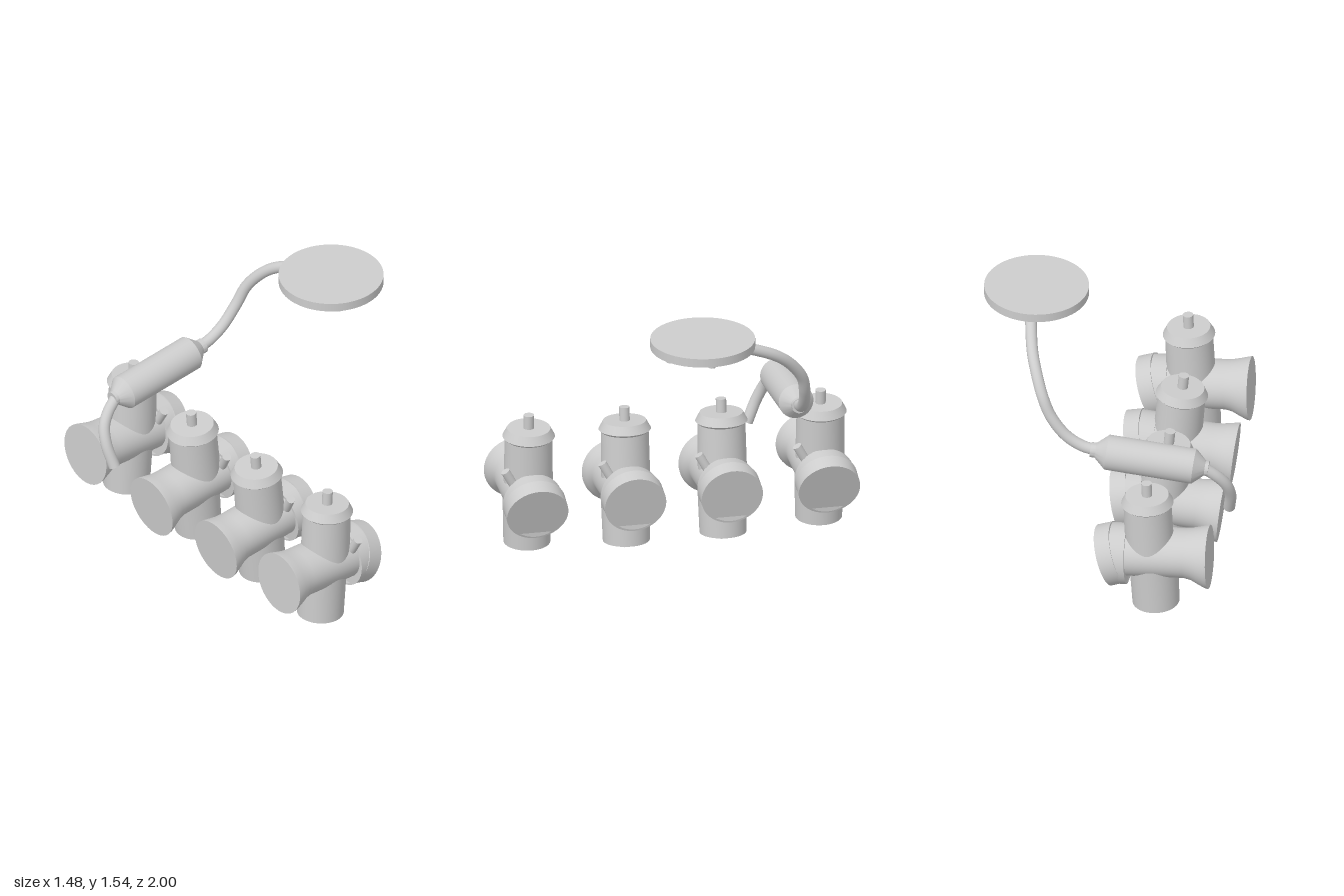
import * as THREE from 'three';
import { toCreasedNormals } from 'three/addons/utils/BufferGeometryUtils.js';

const metal = new THREE.MeshStandardMaterial({ color: 0xcccccc });
metal.name = 'light grey metal';

function part(name, geometry, x = 0, y = 0, z = 0) {
  const mesh = new THREE.Mesh(geometry, metal);
  mesh.name = name;
  mesh.position.set(x, y, z);
  return mesh;
}

// Turned solid: profile of [radius, height] from bottom to top
function turned(profile, segments = 48) {
  const points = profile.map(([r, h]) => new THREE.Vector2(r, h));
  return toCreasedNormals(new THREE.LatheGeometry(points, segments), 0.5);
}

// Place a solid made along y so that it runs from a to b
function between(name, a, b, rTop, rBottom = rTop, segments = 24) {
  const from = new THREE.Vector3(...a), to = new THREE.Vector3(...b);
  const dir = to.clone().sub(from);
  const mesh = part(name, new THREE.CylinderGeometry(rTop, rBottom, dir.length(), segments));
  mesh.position.copy(from).add(to).multiplyScalar(0.5);
  mesh.quaternion.setFromUnitVectors(new THREE.Vector3(0, 1, 0), dir.normalize());
  return mesh;
}

function pipe(name, points, radius) {
  const group = new THREE.Group();
  group.name = name;
  const curve = new THREE.CatmullRomCurve3(points.map(p => new THREE.Vector3(...p)));
  group.add(part(name + 'Tube', new THREE.TubeGeometry(curve, 48, radius, 24)));
  // End cap
  const cap = part(name + 'End', new THREE.CircleGeometry(radius, 24));
  cap.position.copy(curve.getPoint(1));
  cap.quaternion.setFromUnitVectors(new THREE.Vector3(0, 0, 1), curve.getTangent(1));
  group.add(cap);
  return group;
}

function createCarburetor() {
  const g = new THREE.Group();
  g.name = 'carburetor';

  // Flared intake horn and barrel, flattened slightly behind the flare
  const horn = new THREE.LatheGeometry([
    [0, -0.315], [0.178, -0.315], [0.176, -0.3], [0.165, -0.26], [0.154, -0.22],
    [0.149, -0.18], [0.149, 0.15], [0, 0.15],
  ].map(p => new THREE.Vector2(...p)), 48).rotateZ(-Math.PI / 2);
  const pos = horn.attributes.position;
  for (let i = 0; i < pos.count; i++) {
    const t = THREE.MathUtils.smoothstep(pos.getX(i), -0.315, -0.18);
    pos.setY(i, pos.getY(i) * (1 - 0.1 * t) + 0.02 * t);
  }
  g.add(part('intakeBarrel', toCreasedNormals(horn, 0.5), 0, -0.066, 0));

  // Outlet flange and the tilted disc that closes it
  const flange = new THREE.CylinderGeometry(0.17, 0.17, 0.09, 48).rotateZ(-Math.PI / 2);
  g.add(part('outletFlange', flange, 0.185, -0.066, 0));
  const disc = new THREE.CylinderGeometry(0.173, 0.173, 0.088, 48)
    .translate(0, -0.044, 0).rotateZ(-Math.PI / 2 - 0.297);
  g.add(part('tiltedDisc', disc, 0.269, -0.083, 0));

  // Upper chamber, cap and stem
  g.add(part('upperChamber', turned([
    [0, -0.06], [0.137, -0.06], [0.132, 0.29], [0, 0.29]]), 0.016, 0, 0));
  g.add(part('chamberCap', turned([
    [0, 0.272], [0.132, 0.272], [0.145, 0.284], [0.12, 0.332], [0, 0.332]]), 0.016, 0, 0));
  g.add(between('capStem', [0.016, 0.32, 0], [0.016, 0.41, 0], 0.029));

  // Float bowl with drain nut
  g.add(part('floatBowl', turned([
    [0, -0.37], [0.13, -0.37], [0.138, -0.06], [0, -0.06]]), -0.003, 0, 0));
  g.add(between('drainNut', [-0.01, -0.408, 0], [-0.01, -0.36, 0], 0.031, 0.031, 6));

  // Slanted adjusting screw
  g.add(between('adjustingScrew', [0.119, 0.03, 0.1], [0.119, 0.127, 0.153], 0.025));
  return g;
}

function createExhaust() {
  const g = new THREE.Group();
  g.name = 'exhaust';

  // Silencer body with coned ends and collars
  const muffler = part('silencer', turned([
    [0, -0.325], [0.042, -0.325], [0.042, -0.305], [0.098, -0.243],
    [0.098, 0.243], [0.042, 0.307], [0.042, 0.335], [0, 0.335]]), -0.274, 0.878, -0.632);
  muffler.rotation.z = -Math.PI / 2 + 0.1;
  g.add(muffler);

  g.add(pipe('tailPipe', [
    [-0.57, 0.848, -0.632], [-0.645, 0.785, -0.615], [-0.69, 0.72, -0.592],
    [-0.708, 0.63, -0.552], [-0.695, 0.507, -0.5]], 0.032));
  g.add(pipe('frontPipe', [
    [0.03, 0.91, -0.632], [0.11, 0.932, -0.63], [0.2, 0.99, -0.625], [0.285, 1.1, -0.612],
    [0.335, 1.21, -0.585], [0.38, 1.315, -0.51], [0.415, 1.39, -0.415],
    [0.455, 1.482, -0.2]], 0.032));
  return g;
}

function createPlate() {
  const g = new THREE.Group();
  g.name = 'mountingPlate';
  g.position.set(0.45, 0, 0);
  g.add(part('plate', new THREE.CylinderGeometry(0.29, 0.29, 0.05, 64), 0, 1.52, 0));
  // Ring of bolts underneath
  for (let i = 0; i < 6; i++) {
    const a = i * Math.PI / 3;
    g.add(part('plateBolt', new THREE.CylinderGeometry(0.02, 0.02, 0.03, 16),
      0.245 * Math.cos(a), 1.49, 0.245 * Math.sin(a)));
  }
  return g;
}

export function createModel() {
  const model = new THREE.Group();
  model.name = 'carburetorsAndExhaust';
  // Outer pair leans forward, inner pair leans back
  for (const side of [-1, 1]) {
    for (const [z, y, tilt] of [[0.824, 0.44, -0.044], [0.273, 0.415, 0.09]]) {
      const carb = createCarburetor();
      carb.position.set(-0.312, y, side * z);
      carb.rotation.z = tilt;
      model.add(carb);
    }
  }
  model.add(createExhaust(), createPlate());
  return model;
}
